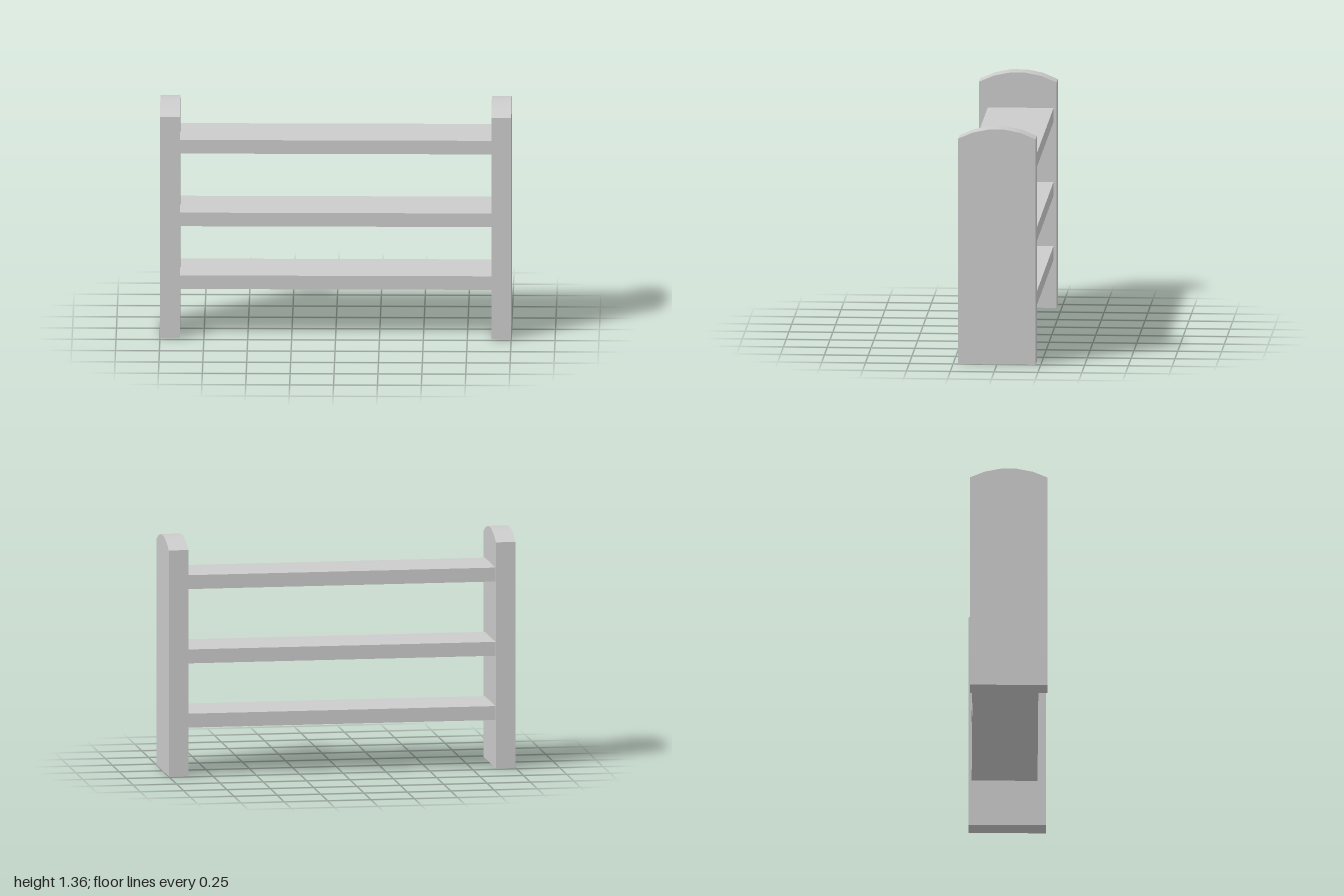
import * as THREE from 'three';
import { toCreasedNormals } from 'three/addons/utils/BufferGeometryUtils.js';

export function createModel() {
  const group = new THREE.Group();
  const material = new THREE.MeshStandardMaterial({ color: 0xcccccc });

  const panelThickness = 0.113;
  const innerX = 1 - panelThickness;

  // Side panel profile: straight sides with a shallow five-segment arched top
  const halfDepth = 0.221, shoulderY = 1.303, radius = 0.46, segments = 5;
  const halfAngle = Math.asin(halfDepth / radius);
  const centreY = shoulderY - radius * Math.cos(halfAngle);
  const profile = [new THREE.Vector2(-halfDepth, 0), new THREE.Vector2(halfDepth, 0)];
  for (let i = 0; i <= segments; i++) {
    const a = halfAngle * (1 - (2 * i) / segments);
    profile.push(new THREE.Vector2(radius * Math.sin(a), centreY + radius * Math.cos(a)));
  }
  const extruded = new THREE.ExtrudeGeometry(new THREE.Shape(profile), {
    depth: panelThickness,
    bevelEnabled: false,
  });
  extruded.translate(0, 0, -panelThickness / 2).rotateY(Math.PI / 2);
  const panelGeometry = toCreasedNormals(extruded, 0.5);

  for (const [name, side] of [['leftPanel', 1], ['rightPanel', -1]]) {
    const panel = new THREE.Mesh(panelGeometry, material);
    panel.name = name;
    panel.position.x = side * (1 - panelThickness / 2);
    group.add(panel);
  }

  // Three shelves, set slightly towards the back
  const shelfGeometry = new THREE.BoxGeometry(2 * innerX, 0.08, 0.375);
  const shelves = [['lowerShelf', 0.317], ['middleShelf', 0.687], ['upperShelf', 1.115]];
  for (const [name, y] of shelves) {
    const shelf = new THREE.Mesh(shelfGeometry, material);
    shelf.name = name;
    shelf.position.set(0, y, -0.016);
    group.add(shelf);
  }

  return group;
}
